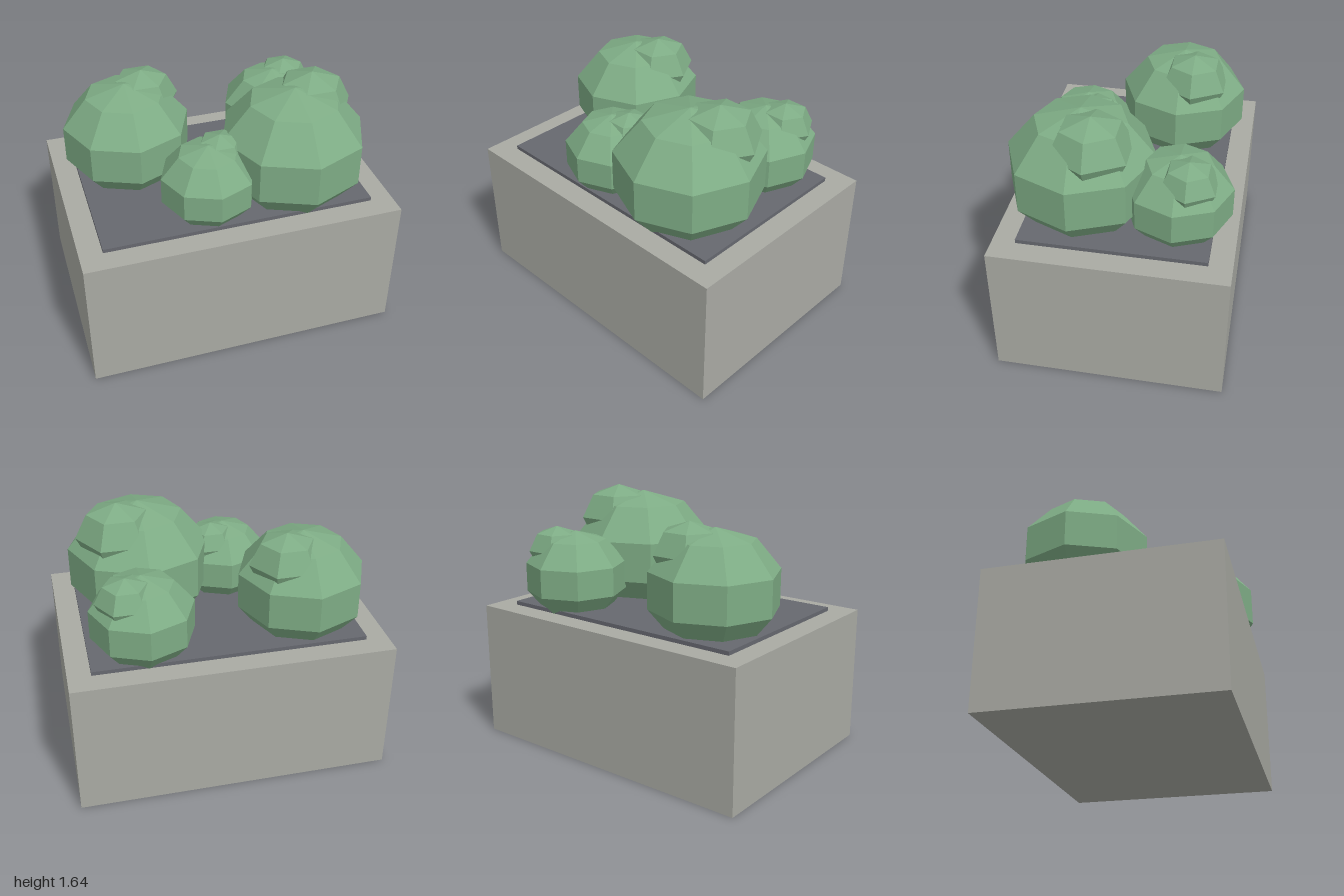
import * as THREE from 'three';

export function createModel() {
  const model = new THREE.Group();
  model.name = 'planterWithBushes';

  const stone = new THREE.MeshStandardMaterial({ color: 0xa9aaa3, flatShading: true });
  stone.name = 'stone grey';
  const earth = new THREE.MeshStandardMaterial({ color: 0x66686f, flatShading: true });
  earth.name = 'dark soil';
  const leaf = new THREE.MeshStandardMaterial({ color: 0x7eac85, flatShading: true });
  leaf.name = 'leaf green';

  function add(name, geometry, material, x, y, z, parent = model) {
    const mesh = new THREE.Mesh(geometry, material);
    mesh.name = name;
    mesh.position.set(x, y, z);
    parent.add(mesh);
    return mesh;
  }

  // Stone box with a thin bed of soil on top
  add('planterBox', new THREE.BoxGeometry(2, 0.89, 1.43), stone, 0, 0.445, 0);
  add('soilBed', new THREE.BoxGeometry(1.714, 0.045, 1.144), earth, 0, 0.8925, 0);

  // Each bush is a squashed ball with a smaller tuft on its upper back left
  const bodyShape = new THREE.SphereGeometry(1, 8, 5).scale(1, 0.88, 1);
  const tuftShape = new THREE.SphereGeometry(0.55, 6, 4).scale(1, 0.815, 1);

  // x, z, radius
  const bushes = [
    [-0.518, -0.235, 0.425],
    [-0.145, 0.34, 0.31],
    [0.43, 0.25, 0.48],
    [0.51, -0.35, 0.34],
  ];
  bushes.forEach(([x, z, r], i) => {
    const bush = new THREE.Group();
    bush.name = `bush${i + 1}`;
    bush.position.set(x, 0.91 + 0.565 * r, z);
    bush.scale.setScalar(r);
    add('bushBody', bodyShape, leaf, 0, 0, 0, bush);
    add('bushTuft', tuftShape, leaf, 0.3, 0.51, -0.19, bush);
    model.add(bush);
  });

  return model;
}
